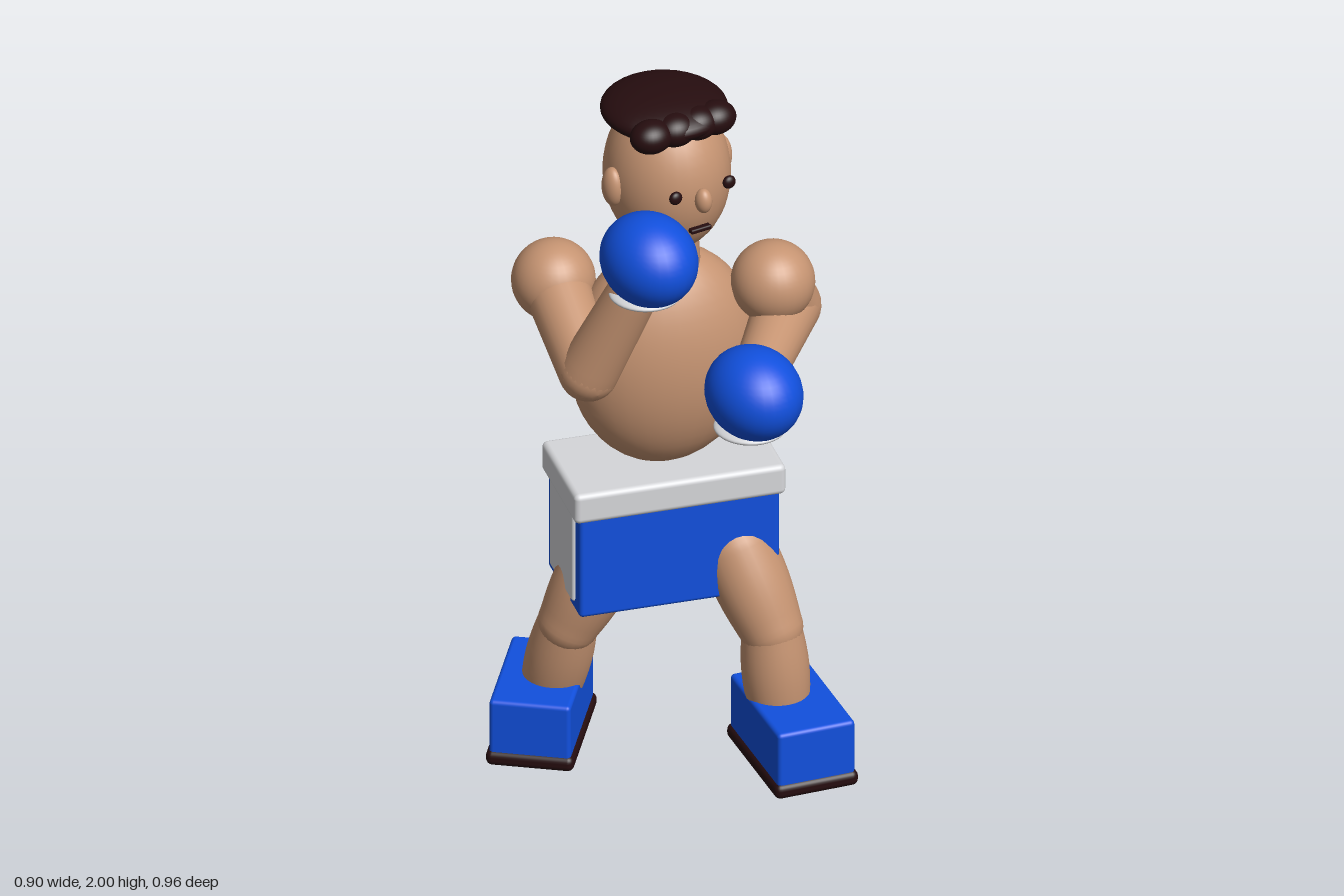
import * as THREE from 'three';
import { RoundedBoxGeometry } from 'three/addons/geometries/RoundedBoxGeometry.js';

const material = (name, color) => {
  const m = new THREE.MeshStandardMaterial({ color });
  m.name = name;
  return m;
};

export function createModel() {
  const skin = material('skin', 0xc69472);
  const blue = material('blue', 0x1150de);
  const white = material('offWhite', 0xd6d7da);
  const dark = material('darkBrown', 0x260d0f);

  const model = new THREE.Group();
  model.name = 'boxer';

  const add = (name, geometry, mat, pos, parent = model) => {
    const mesh = new THREE.Mesh(geometry, mat);
    mesh.name = name;
    mesh.position.set(...pos);
    parent.add(mesh);
    return mesh;
  };
  const ellipsoid = (name, mat, pos, radii, parent) =>
    add(name, new THREE.SphereGeometry(1, 32, 24).scale(...radii), mat, pos, parent);
  const box = (name, mat, pos, size, radius, parent) =>
    add(name, new RoundedBoxGeometry(...size, 3, radius), mat, pos, parent);

  // Tapered limb with round ends and a slight muscle bulge, from a to b
  const limb = (name, a, b, ra, rb, bulge = 0) => {
    const from = new THREE.Vector3(...a);
    const dir = new THREE.Vector3(...b).sub(from);
    const len = dir.length();
    const pts = [];
    for (let i = 0; i <= 8; i++) {
      const t = (i / 8) * Math.PI / 2;
      pts.push(new THREE.Vector2(ra * Math.sin(t), -ra * Math.cos(t)));
    }
    for (let i = 1; i < 8; i++) {
      const t = i / 8;
      pts.push(new THREE.Vector2(ra + (rb - ra) * t + bulge * Math.sin(Math.PI * t), len * t));
    }
    for (let i = 0; i <= 8; i++) {
      const t = (i / 8) * Math.PI / 2;
      pts.push(new THREE.Vector2(rb * Math.cos(t), len + rb * Math.sin(t)));
    }
    pts[0].x = pts[pts.length - 1].x = 0;
    const mesh = add(name, new THREE.LatheGeometry(pts, 28), skin, a);
    mesh.quaternion.setFromUnitVectors(new THREE.Vector3(0, 1, 0), dir.normalize());
    return mesh;
  };

  // Head and neck
  const cx = 0.042, cz = -0.088;
  ellipsoid('head', skin, [cx, 1.755, cz], [0.17, 0.228, 0.18]);
  add('neck', new THREE.CylinderGeometry(0.085, 0.095, 0.16, 32), skin, [cx, 1.49, cz]);
  for (const s of [-1, 1]) {
    ellipsoid(s > 0 ? 'leftEar' : 'rightEar', skin, [cx + s * 0.17, 1.755, cz], [0.028, 0.057, 0.036]);
    ellipsoid(s > 0 ? 'leftEye' : 'rightEye', dark, [cx + s * 0.084, 1.782, 0.095], [0.019, 0.019, 0.013]);
  }
  ellipsoid('nose', skin, [cx, 1.752, 0.1], [0.023, 0.036, 0.026]);
  box('mouth', dark, [cx, 1.657, 0.083], [0.064, 0.014, 0.02], 0.005);

  // Hair cap with a fringe of curls
  ellipsoid('hair', dark, [cx, 1.944, -0.102], [0.172, 0.056, 0.174]);
  [-0.07, 0.005, 0.075, 0.13].forEach((x, i) =>
    ellipsoid(`curl${i + 1}`, dark, [x, 1.942, 0.015], [0.06, 0.046, 0.052]));

  // Torso, twisted with the hips
  const twist = -0.26;
  ellipsoid('torso', skin, [0.038, 1.19, -0.097], [0.262, 0.325, 0.174]).rotation.y = twist;

  // Shorts with waistband and side panels
  const shorts = new THREE.Group();
  shorts.name = 'shorts';
  shorts.position.set(0.037, 0, -0.095);
  shorts.rotation.y = twist;
  model.add(shorts);
  box('shortsBody', blue, [0, 0.655, 0], [0.56, 0.33, 0.3], 0.012, shorts);
  box('waistband', white, [0, 0.831, 0], [0.592, 0.09, 0.322], 0.016, shorts);
  for (const s of [-1, 1]) {
    box(s > 0 ? 'leftPanel' : 'rightPanel', white, [s * 0.278, 0.66, 0], [0.022, 0.28, 0.215], 0.008, shorts);
  }

  // Legs
  limb('leftThigh', [0.19, 0.6, 0.025], [0.235, 0.39, 0.13], 0.103, 0.088, 0.008);
  limb('leftShin', [0.235, 0.385, 0.135], [0.25, 0.14, 0.15], 0.082, 0.082, 0.01);
  limb('rightThigh', [-0.12, 0.6, -0.13], [-0.205, 0.385, -0.185], 0.103, 0.085, 0.008);
  limb('rightShin', [-0.205, 0.385, -0.19], [-0.215, 0.14, -0.268], 0.08, 0.08, 0.01);

  // Shoes
  const shoe = (name, x, z, turn) => {
    const g = new THREE.Group();
    g.name = name;
    g.position.set(x, 0, z);
    g.rotation.y = turn;
    model.add(g);
    box('shoeUpper', blue, [0, 0.112, 0], [0.222, 0.172, 0.362], 0.012, g);
    box('sole', dark, [0, 0.022, 0], [0.24, 0.044, 0.38], 0.018, g);
  };
  shoe('leftShoe', 0.26, 0.202, -0.18);
  shoe('rightShoe', -0.243, -0.267, -0.725);

  // Arms: shoulder ball, upper arm, forearm, glove and cuff
  const arm = (side, shoulder, elbow, wrist, glove, radii) => {
    ellipsoid(`${side}Shoulder`, skin, shoulder, [0.114, 0.114, 0.114]);
    limb(`${side}UpperArm`, shoulder, elbow, 0.09, radii[0]);
    limb(`${side}Forearm`, elbow, wrist, radii[0], radii[1]);
    ellipsoid(`${side}Glove`, blue, glove, [0.127, 0.127, 0.149]);
    ellipsoid(`${side}Cuff`, white, [glove[0], glove[1] - 0.113, glove[2] - 0.02], [0.098, 0.021, 0.1]);
  };
  arm('left', [0.29, 1.405, 0.052], [0.357, 1.295, 0.02], [0.1, 1.258, 0.27], [0.058, 1.267, 0.333], [0.09, 0.068]);
  arm('right', [-0.203, 1.4, -0.27], [-0.258, 1.265, 0.0], [-0.175, 1.54, 0.1], [-0.16, 1.656, 0.15], [0.082, 0.07]);

  return model;
}
